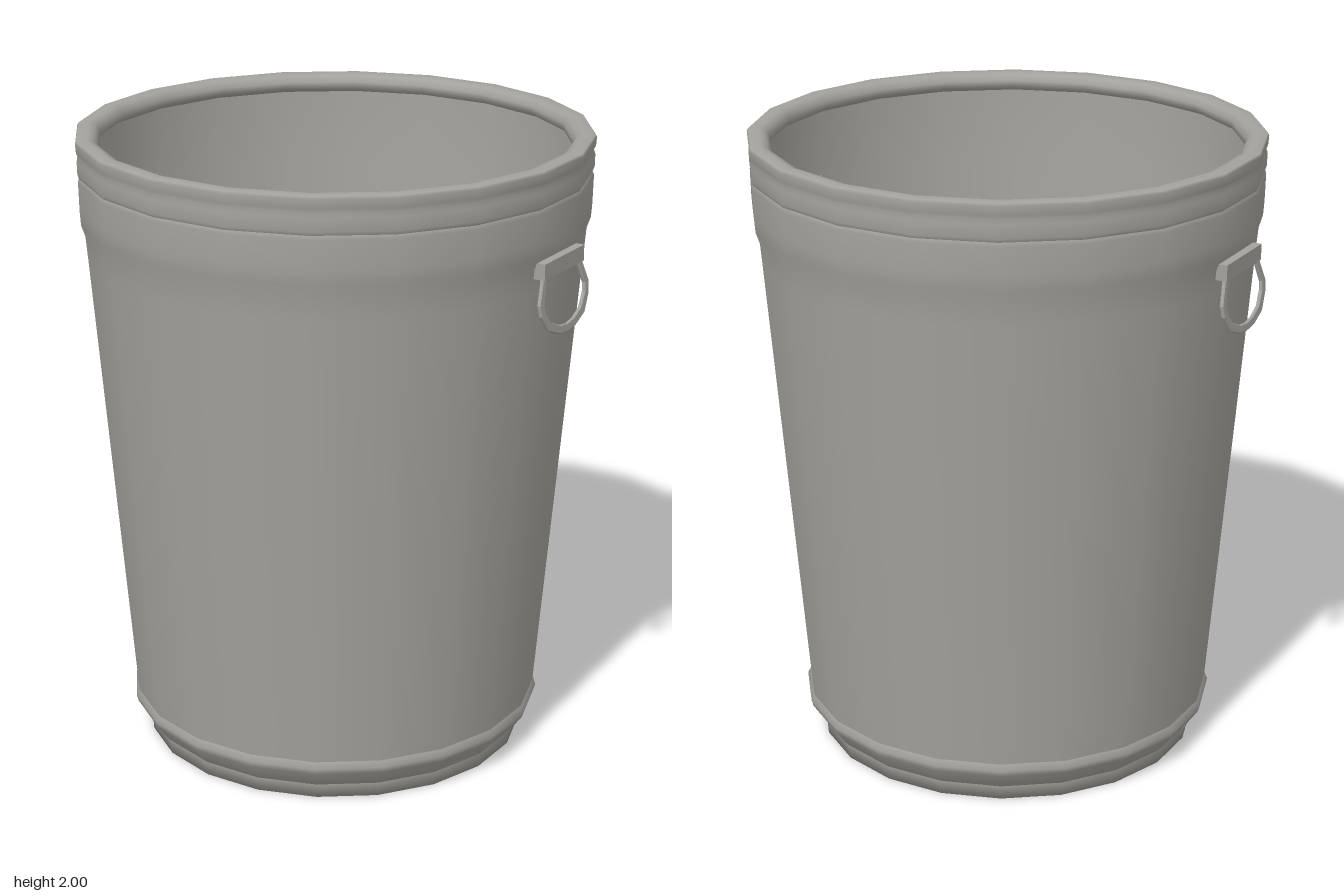
import * as THREE from 'three';

const SIDES = 20;

export function createModel() {
  const model = new THREE.Group();
  model.name = 'bin';
  const metal = new THREE.MeshStandardMaterial({ color: 0xa4a29d });
  metal.name = 'galvanised grey';

  // Turned part from [radius, height] pairs; corners sit half a side off the axes
  function turned(name, points) {
    const profile = points.map(([r, y]) => new THREE.Vector2(r, y));
    const mesh = new THREE.Mesh(new THREE.LatheGeometry(profile, SIDES, Math.PI / SIDES), metal);
    mesh.name = name;
    model.add(mesh);
  }

  turned('foot', [[0, 0], [0.613, 0], [0.616, 0.045]]);
  turned('skirt', [[0.616, 0.045], [0.63, 0.06], [0.662, 0.105], [0.668, 0.125], [0.658, 0.145]]);
  turned('wall', [[0.658, 0.145], [0.665, 0.23], [0.778, 1.62], [0.785, 1.7],
    [0.797, 1.735], [0.8, 1.78], [0.802, 1.87], [0.797, 1.882]]);
  turned('rim', [[0.797, 1.882], [0.803, 1.894], [0.804, 1.935], [0.799, 1.95], [0.805, 1.962],
    [0.807, 1.99], [0.803, 1.998], [0.77, 2], [0.75, 1.995], [0.738, 1.975], [0.738, 1.955],
    [0.76, 1.94], [0.785, 1.935]]);
  // Thin sheet: the inside follows the outside closely
  turned('interior', [[0.785, 1.935], [0.777, 1.7], [0.65, 0.14], [0.608, 0.01], [0, 0.01]]);

  // Drop-shaped pull ring, drawn with its hinge at y = 0
  const loop = new THREE.Shape();
  const outer = [[0.118, 0], [0.157, -0.085], [0.151, -0.122], [0.114, -0.175], [0.055, -0.198], [0, -0.204]];
  const inner = [[0.095, 0], [0.129, -0.085], [0.124, -0.113], [0.094, -0.152], [0.045, -0.173], [0, -0.179]];
  const mirrored = (pts) => [...pts, ...pts.slice(0, -1).reverse().map(([x, y]) => [-x, y])]
    .map(([x, y]) => new THREE.Vector2(x, y));
  loop.setFromPoints([...mirrored(outer), ...mirrored(inner).reverse()]);
  const loopGeometry = new THREE.ExtrudeGeometry(loop, {
    depth: 0.006, bevelEnabled: true, bevelThickness: 0.003, bevelSize: 0.003,
    bevelOffset: -0.003, bevelSegments: 1,
  });
  loopGeometry.translate(0, 0, -0.003);

  // One handle on each side
  for (const side of [1, -1]) {
    const handle = new THREE.Group();
    handle.name = side > 0 ? 'leftHandle' : 'rightHandle';
    const bracket = new THREE.Mesh(new THREE.BoxGeometry(0.25, 0.05, 0.045), metal);
    bracket.name = 'bracket';
    bracket.position.set(0, 1.695, 0.787);
    const ring = new THREE.Mesh(loopGeometry, metal);
    ring.name = 'pullRing';
    ring.position.set(0, 1.685, 0.797);
    ring.rotation.x = -0.125;
    handle.add(bracket, ring);
    handle.rotation.y = side * Math.PI / 2;
    model.add(handle);
  }
  return model;
}
